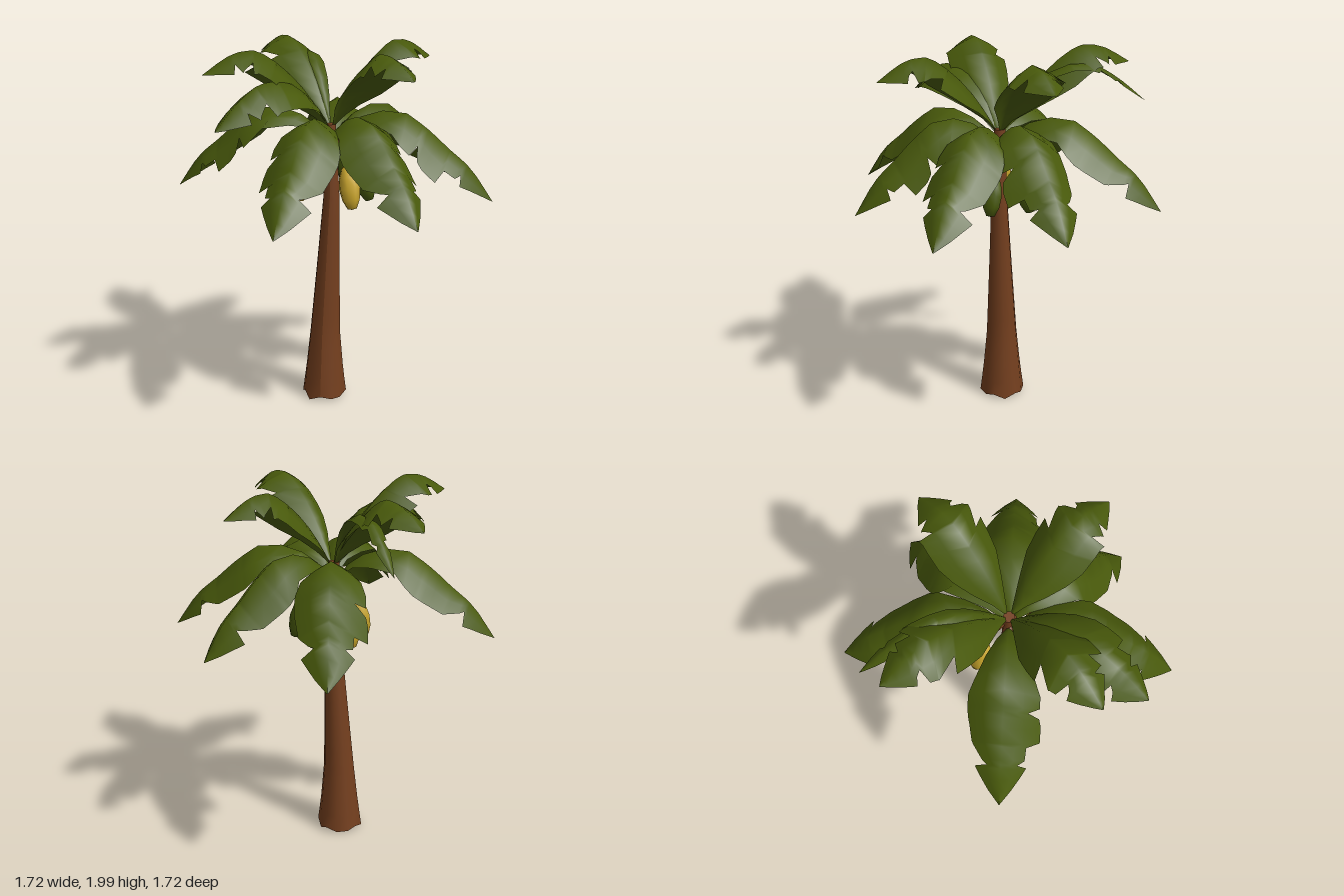
import * as THREE from 'three';

const leafGreen = new THREE.MeshStandardMaterial({ name: 'leafGreen', color: 0x48590b, side: THREE.DoubleSide });
const barkBrown = new THREE.MeshStandardMaterial({ name: 'barkBrown', color: 0x743f1e });
const fruitYellow = new THREE.MeshStandardMaterial({ name: 'fruitYellow', color: 0xc8a42c });

// Frond spines as [distance from crown, height]
const SPINES = {
  low: [[0.03, 1.5], [0.1, 1.59], [0.2, 1.64], [0.36, 1.665], [0.5, 1.58], [0.62, 1.475], [0.74, 1.37], [0.86, 1.2]],
  mid: [[0.02, 1.56], [0.12, 1.7], [0.3, 1.83], [0.5, 1.85], [0.65, 1.78], [0.8, 1.66]],
  torn: [[0.02, 1.58], [0.1, 1.7], [0.3, 1.89], [0.5, 1.91], [0.65, 1.83], [0.8, 1.71]],
  high: [[0.02, 1.58], [0.1, 1.71], [0.22, 1.86], [0.4, 1.99], [0.52, 1.975], [0.66, 1.89]],
};
const WIDTHS = { low: 1, mid: 0.95, torn: 0.3, high: 0.9 };

// Ragged leaf outlines: [position along spine, left half width, right half width]
const LOW_OUTLINE = [
  [0, 0.012, 0.012], [0.08, 0.05, 0.05], [0.17, 0.1, 0.1], [0.28, 0.15, 0.15], [0.4, 0.175, 0.175],
  [0.48, 0.178, 0.175], [0.5, 0.176, 0.12], [0.53, 0.174, 0.175], [0.58, 0.165, 0.185], [0.66, 0.15, 0.185],
  [0.675, 0.14, 0.12], [0.74, 0.095, 0.115], [0.765, 0.07, 0.08], [0.785, 0.13, 0.125], [0.85, 0.1, 0.095],
  [0.92, 0.06, 0.055], [1, 0.002, 0.002],
];
const HIGH_OUTLINE = [
  [0, 0.012, 0.012], [0.08, 0.045, 0.045], [0.17, 0.1, 0.09], [0.28, 0.15, 0.15], [0.4, 0.175, 0.17],
  [0.5, 0.175, 0.18], [0.515, 0.175, 0.11], [0.6, 0.17, 0.15], [0.66, 0.17, 0.165], [0.675, 0.1, 0.16],
  [0.75, 0.12, 0.145], [0.77, 0.13, 0.075], [0.8, 0.07, 0.09], [0.83, 0.115, 0.12], [0.9, 0.075, 0.08],
  [0.96, 0.035, 0.035], [1, 0.002, 0.002],
];

// Folded leaf blade swept along its spine towards a tip at (x, z)
function frond(name, kind, x, z, mirror) {
  const spine = SPINES[kind];
  const outline = kind === 'low' ? LOW_OUTLINE : HIGH_OUTLINE;
  const width = WIDTHS[kind];
  const scale = Math.hypot(x, z) / spine[spine.length - 1][0];
  const dir = new THREE.Vector3(x, 0, z).normalize();
  const side = new THREE.Vector3(-dir.z, 0, dir.x);
  const curve = new THREE.CatmullRomCurve3(
    spine.map(([r, y]) => dir.clone().multiplyScalar(r * scale).setY(y)));
  const positions = [], index = [];
  outline.forEach(([t, left, right], row) => {
    const p = curve.getPointAt(t);
    const tangent = curve.getTangentAt(t);
    const up = new THREE.Vector3().crossVectors(side, tangent);
    if (up.y < 0) up.negate();
    const [a, b] = mirror ? [right, left] : [left, right];
    for (const w of [-a, -a * 0.55, 0, b * 0.55, b]) {
      // Edges fold down and sweep towards the tip
      const k = Math.abs(w) * width;
      const drop = k * 0.45 + k * k * 1.6;
      const q = p.clone().addScaledVector(side, w * width)
        .addScaledVector(up, -drop).addScaledVector(tangent, k * 0.3);
      positions.push(q.x, q.y, q.z);
    }
    if (row === 0) return;
    for (let i = 0; i < 4; i++) {
      const c = row * 5 + i, d = c - 5;
      index.push(d, d + 1, c, d + 1, c + 1, c);
    }
  });
  const geo = new THREE.BufferGeometry();
  geo.setAttribute('position', new THREE.Float32BufferAttribute(positions, 3));
  geo.setIndex(index);
  geo.computeVertexNormals();
  const mesh = new THREE.Mesh(geo, leafGreen);
  mesh.name = name;
  return mesh;
}

// Linear lookup in a table of [y, value]
function lookup(table, y) {
  let i = 1;
  while (i < table.length - 1 && y > table[i][0]) i++;
  const [y0, a] = table[i - 1], [y1, b] = table[i];
  return THREE.MathUtils.mapLinear(y, y0, y1, a, b);
}

// Tapered, slightly leaning trunk with a ragged foot
function trunk() {
  const height = 1.58;
  const geo = new THREE.CylinderGeometry(1, 1, height, 12, 16);
  const radii = [[0, 0.121], [0.1, 0.113], [0.4, 0.084], [0.8, 0.063], [1.2, 0.043], [1.58, 0.03]];
  const lean = [[0, -0.04], [0.4, -0.034], [1.2, 0.002], [1.58, -0.005]];
  const pos = geo.attributes.position;
  for (let i = 0; i < pos.count; i++) {
    const x = pos.getX(i), z = pos.getZ(i), y = pos.getY(i) + height / 2;
    const angle = Math.atan2(z, x);
    const foot = Math.max(0, 1 - y / 0.15);
    const r = lookup(radii, y) * (1 + 0.04 * foot * Math.cos(angle * 6));
    const lift = foot * (0.022 + 0.016 * Math.sin(angle * 5 + 1) * Math.hypot(x, z));
    pos.setXYZ(i, x * r + lookup(lean, y), y + lift, z * r);
  }
  geo.computeVertexNormals();
  const mesh = new THREE.Mesh(geo, barkBrown);
  mesh.name = 'trunk';
  return mesh;
}

// Hanging fruit with its stem
function fruit(name, x, z, material) {
  const group = new THREE.Group();
  group.name = name;
  const profile = [[0, -0.12], [0.024, -0.115], [0.046, -0.07], [0.056, -0.01], [0.049, 0.05], [0.029, 0.1], [0, 0.118]];
  const body = new THREE.Mesh(
    new THREE.LatheGeometry(profile.map(([r, h]) => new THREE.Vector2(r, h)), 8), material);
  body.name = name + 'Body';
  body.position.set(x, 1.278, z);
  // Lower end swings outwards from the trunk
  const out = new THREE.Vector3(x, 0, z).normalize();
  const axis = new THREE.Vector3(-out.x * 0.28, 1, -out.z * 0.28).normalize();
  body.quaternion.setFromUnitVectors(new THREE.Vector3(0, 1, 0), axis);
  const top = body.position.clone().addScaledVector(axis, 0.11);
  const path = new THREE.QuadraticBezierCurve3(
    new THREE.Vector3(0, 1.52, 0), new THREE.Vector3(top.x * 0.8, 1.5, top.z * 0.8), top);
  const stem = new THREE.Mesh(new THREE.TubeGeometry(path, 6, 0.01, 5), barkBrown);
  stem.name = name + 'Stem';
  group.add(body, stem);
  return group;
}

export function createModel() {
  const model = new THREE.Group();
  model.name = 'palmTree';
  model.add(trunk());

  // Crown of fronds, drooping ones first
  const fronds = [
    ['low', 0.86, -0.01], ['low', -0.86, 0], ['low', -0.1, 0.855], ['low', -0.1, -0.86],
    ['low', 0.56, -0.57], ['low', 0.54, 0.58],
    ['mid', -0.42, 0.68], ['torn', -0.38, -0.68],
    ['high', -0.55, 0.45], ['high', -0.5, -0.55], ['high', 0.46, -0.46], ['high', 0.49, 0.45],
  ];
  fronds.forEach(([kind, x, z], i) => model.add(frond(`${kind}Frond${i + 1}`, kind, x, z, i % 2 === 1)));

  // Ripe and unripe fruit around the trunk
  [[0.125, 0.14], [-0.105, -0.14], [-0.136, 0.038]]
    .forEach(([x, z], i) => model.add(fruit(`ripeFruit${i + 1}`, x, z, fruitYellow)));
  [[0.172, -0.026], [0.058, -0.172]]
    .forEach(([x, z], i) => model.add(fruit(`unripeFruit${i + 1}`, x, z, leafGreen)));
  return model;
}
